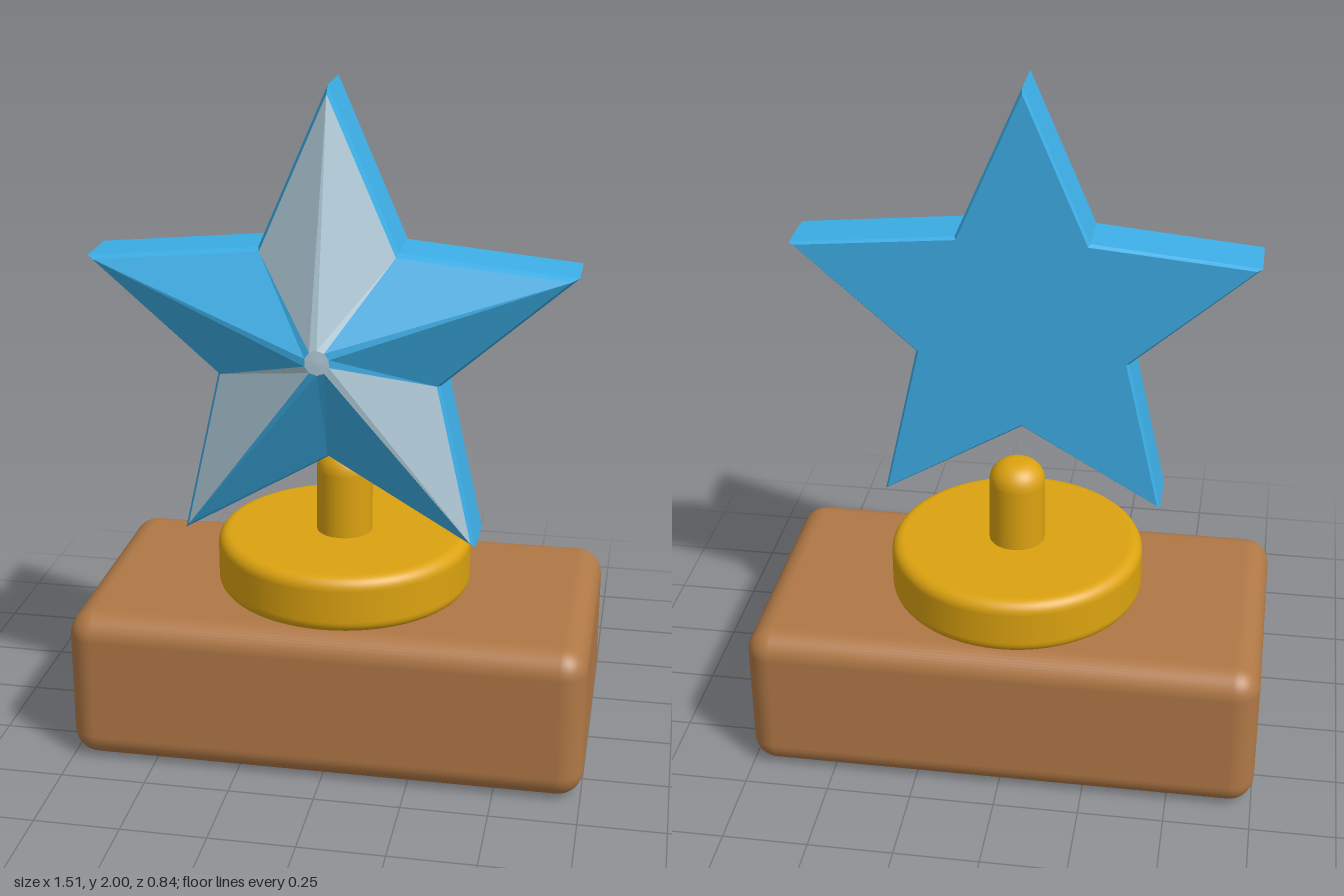
import * as THREE from 'three';
import { RoundedBoxGeometry } from 'three/addons/geometries/RoundedBoxGeometry.js';

const material = (name, color) => {
  const m = new THREE.MeshStandardMaterial({ color });
  m.name = name;
  return m;
};

// Ten-point outline, counter-clockwise from the top tip
const CENTER_Y = 1.285;
function starRing(outer, inner, z) {
  return Array.from({ length: 10 }, (_, i) => {
    const a = Math.PI / 2 + i * Math.PI / 5;
    const r = i % 2 ? inner : outer;
    return new THREE.Vector3(r * Math.cos(a), CENTER_Y + r * Math.sin(a), z);
  });
}

function facesGeometry(triangles) {
  const g = new THREE.BufferGeometry().setFromPoints(triangles);
  g.computeVertexNormals();
  return g;
}

// Round solid with softened top and bottom rims
function roundedDisc(radius, y0, y1, bottomBevel, topBevel) {
  const pts = [new THREE.Vector2(0, y0), new THREE.Vector2(radius - bottomBevel - 0.002, y0)];
  const arc = (cy, bevel, from) => {
    for (let i = 0; i <= 8; i++) {
      const a = from + i / 8 * Math.PI / 2;
      pts.push(new THREE.Vector2(radius - bevel + bevel * Math.cos(a), cy + bevel * Math.sin(a)));
    }
  };
  arc(y0 + bottomBevel, bottomBevel, -Math.PI / 2);
  pts.push(new THREE.Vector2(radius, y0 + bottomBevel + 0.002));
  pts.push(new THREE.Vector2(radius, y1 - topBevel - 0.002));
  arc(y1 - topBevel, topBevel, 0);
  pts.push(new THREE.Vector2(radius - topBevel - 0.002, y1), new THREE.Vector2(0, y1));
  return new THREE.LatheGeometry(pts, 64);
}

export function createModel() {
  const brown = material('brown', 0xb07846);
  const gold = material('gold', 0xdca310);
  const blue = material('blue', 0x3caee6);
  const silver = material('silver', 0xb0cbd9);

  const model = new THREE.Group();
  model.name = 'starTrophy';
  const add = (name, geometry, mat, parent = model) => {
    const mesh = new THREE.Mesh(geometry, mat);
    mesh.name = name;
    parent.add(mesh);
    return mesh;
  };

  // Plinth, disc and post
  add('plinth', new RoundedBoxGeometry(1.51, 0.46, 0.82, 5, 0.075), brown).position.set(0, 0.23, -0.01);
  add('disc', roundedDisc(0.377, 0.46, 0.63, 0.035, 0.035), gold).position.z = -0.007;
  add('post', roundedDisc(0.083, 0.62, 0.89, 0.01, 0.065), gold).position.z = -0.007;

  // Star: back edge, walls and front edge as stacked outlines
  const star = new THREE.Group();
  star.name = 'star';
  model.add(star);
  const R = 0.715, r = 0.33;
  const rings = [
    starRing(R * 0.98, r * 0.975, 0.077),
    starRing(R, r, 0.088),
    starRing(R, r, 0.245),
    starRing(R * 0.97, r * 0.97, 0.264),
    starRing(0.035, 0.035, 0.417),
  ];
  const body = [], blueFacets = [], silverFacets = [], cap = [];
  const quad = (list, lower, upper, i) => {
    const j = (i + 1) % 10;
    list.push(lower[i], lower[j], upper[j], lower[i], upper[j], upper[i]);
  };
  const backCenter = new THREE.Vector3(0, CENTER_Y, 0.077);
  const frontCenter = new THREE.Vector3(0, CENTER_Y, 0.419);
  const silverSides = [0, 9, 3, 6];
  for (let i = 0; i < 10; i++) {
    const j = (i + 1) % 10;
    body.push(backCenter, rings[0][j], rings[0][i]);
    for (let k = 0; k < 3; k++) quad(body, rings[k], rings[k + 1], i);
    // Sloping front facets, two to each arm
    quad(silverSides.includes(i) ? silverFacets : blueFacets, rings[3], rings[4], i);
    cap.push(frontCenter, rings[4][i], rings[4][j]);
  }
  add('starBody', facesGeometry(body), blue, star);
  add('blueFacets', facesGeometry(blueFacets), blue, star);
  add('silverFacets', facesGeometry(silverFacets), silver, star);
  add('starPeak', facesGeometry(cap), silver, star);

  return model;
}
